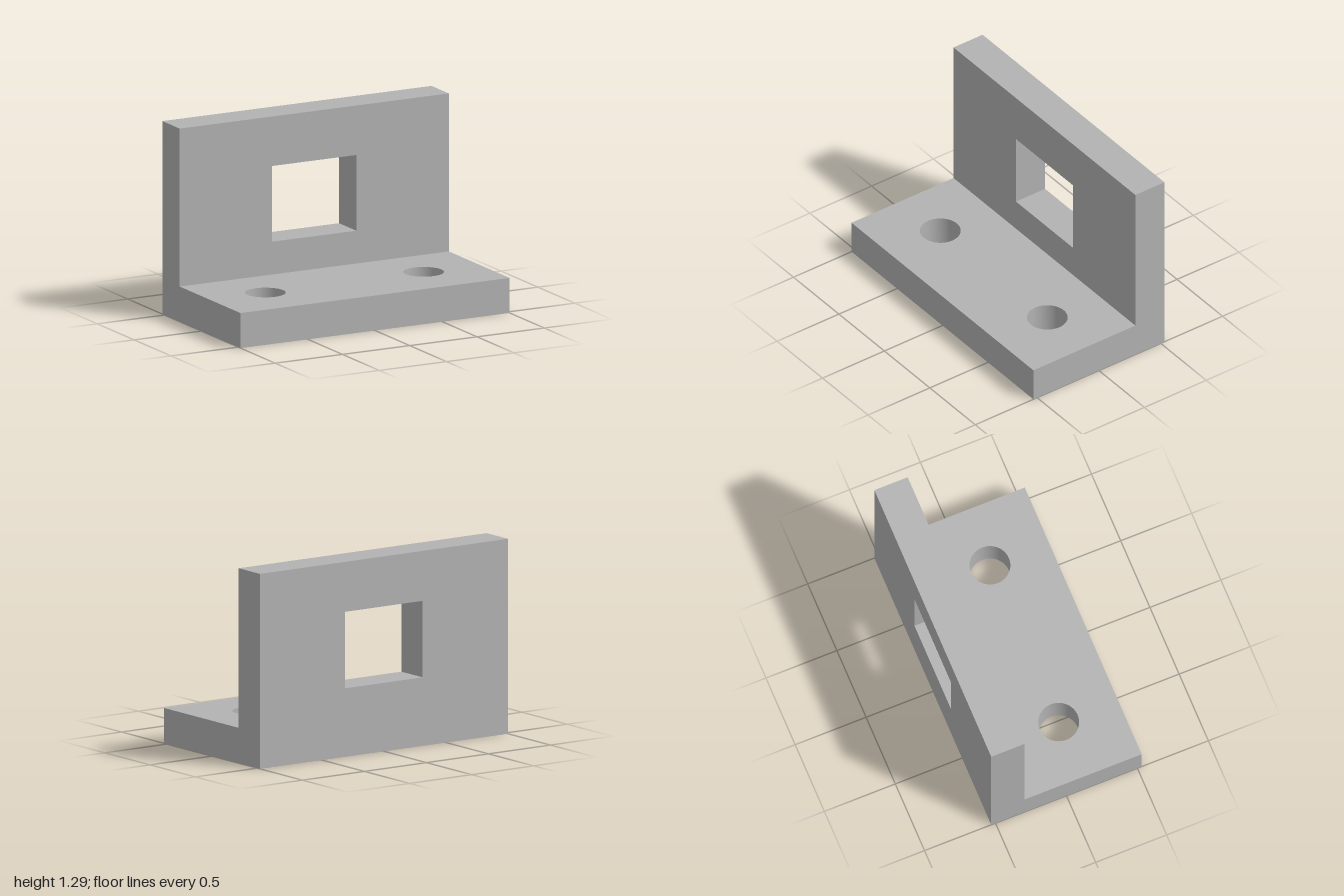
import * as THREE from 'three';
import { toCreasedNormals } from 'three/addons/utils/BufferGeometryUtils.js';

const HALF_WIDTH = 1, HALF_DEPTH = 0.53, HEIGHT = 1.295, THICKNESS = 0.235;

// Closed rectangle, usable as an outline or a hole
function rectangle(PathType, x0, y0, x1, y1) {
  const path = new PathType();
  path.moveTo(x0, y0).lineTo(x1, y0).lineTo(x1, y1).lineTo(x0, y1).closePath();
  return path;
}

function plate(name, shape, material) {
  const extruded = new THREE.ExtrudeGeometry(shape, {
    depth: THICKNESS, bevelEnabled: false, curveSegments: 32,
  });
  const mesh = new THREE.Mesh(toCreasedNormals(extruded, Math.PI / 6), material);
  mesh.name = name;
  return mesh;
}

export function createModel() {
  const group = new THREE.Group();
  group.name = 'angleBracket';
  const grey = new THREE.MeshStandardMaterial({ color: 0xb2b2b2 });
  grey.name = 'grey metal';

  // Base flange with two round bolt holes; shape y becomes -z
  const baseShape = rectangle(THREE.Shape, -HALF_WIDTH, -HALF_DEPTH, HALF_WIDTH, HALF_DEPTH);
  for (const side of [-1, 1]) {
    const hole = new THREE.Path();
    hole.absarc(side * 0.588, -0.115, 0.133, 0, Math.PI * 2, true);
    baseShape.holes.push(hole);
  }
  const base = plate('baseFlange', baseShape, grey);
  base.geometry.rotateX(-Math.PI / 2);

  // Upright flange with a rectangular window, standing on the base
  const wallShape = rectangle(THREE.Shape, -HALF_WIDTH, THICKNESS, HALF_WIDTH, HEIGHT);
  wallShape.holes.push(rectangle(THREE.Path, -0.313, 0.455, 0.313, 0.963));
  const wall = plate('uprightFlange', wallShape, grey);
  wall.position.z = -HALF_DEPTH;

  group.add(base, wall);
  return group;
}
